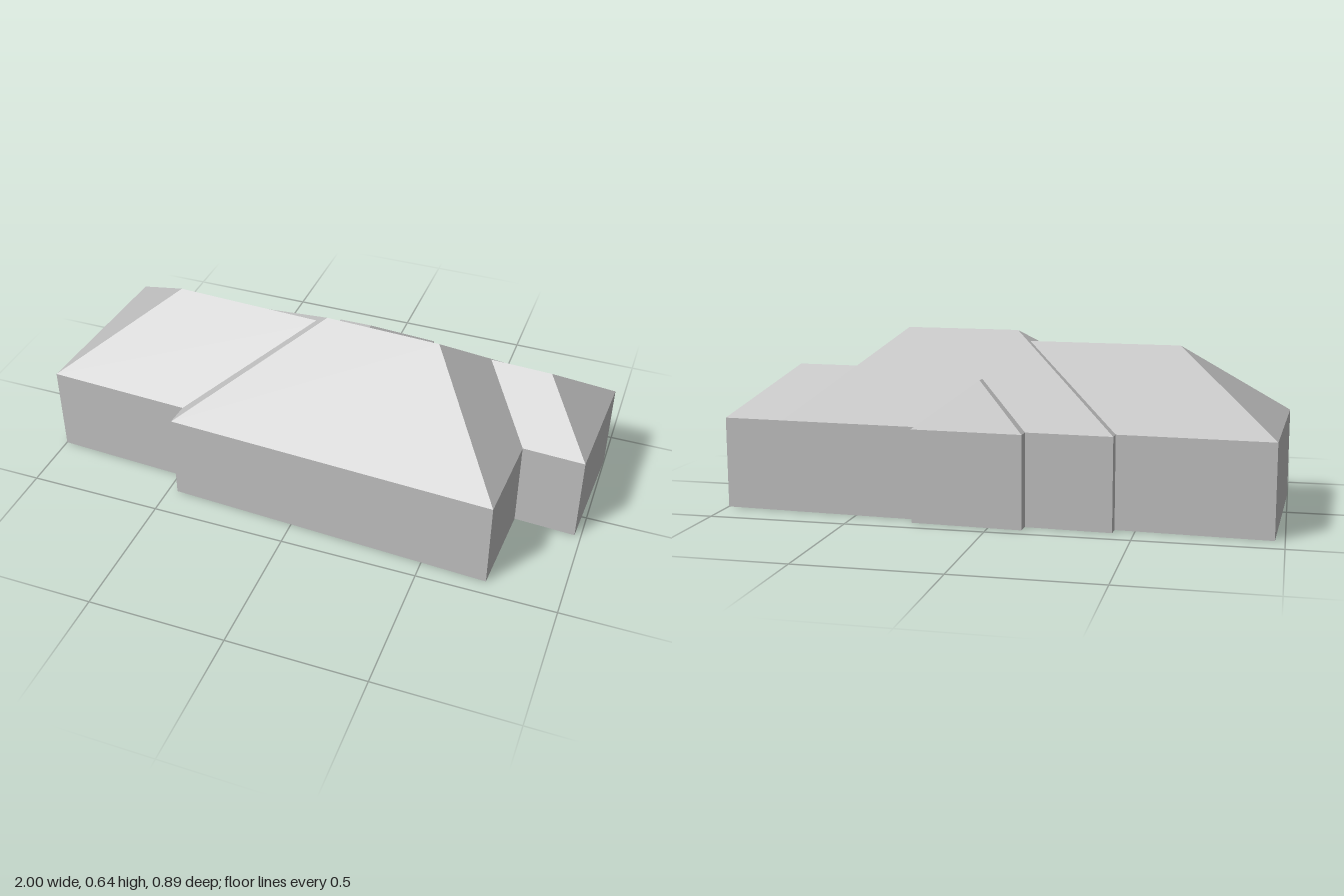
import * as THREE from 'three';

const BASE = 0.004, EAVE = 0.335;
const plaster = new THREE.MeshStandardMaterial({ color: 0xbfbfbf });
plaster.name = 'pale grey';

// Hipped roof over a rectangle, ridge along x from r0 to r1 at depth rz
function hipRoof(x0, x1, z0, z1, r0, r1, rz, top) {
  const fl = [x0, EAVE, z1], fr = [x1, EAVE, z1], br = [x1, EAVE, z0], bl = [x0, EAVE, z0];
  const p = [r0, top, rz], q = [r1, top, rz];
  const triangles = [
    fl, fr, q, fl, q, p, // front slope
    br, bl, p, br, p, q, // back slope
    fr, br, q, bl, fl, p, // ends
  ];
  const geometry = new THREE.BufferGeometry();
  geometry.setAttribute('position', new THREE.Float32BufferAttribute(triangles.flat(), 3));
  geometry.computeVertexNormals();
  return geometry;
}

// One wing of the house: plain walls under a hipped roof
function wing(name, { x, z, ridge, ridgeZ, top }) {
  const group = new THREE.Group();
  group.name = name;
  const walls = new THREE.Mesh(
    new THREE.BoxGeometry(x[1] - x[0], EAVE - BASE, z[1] - z[0]), plaster);
  walls.position.set((x[0] + x[1]) / 2, (EAVE + BASE) / 2, (z[0] + z[1]) / 2);
  walls.name = name + 'Walls';
  const roof = new THREE.Mesh(hipRoof(...x, ...z, ...ridge, ridgeZ, top), plaster);
  roof.name = name + 'Roof';
  group.add(walls, roof);
  return group;
}

export function createModel() {
  const house = new THREE.Group();
  house.name = 'house';

  house.add(
    wing('mainBlock', { x: [-0.447, 0.758], z: [-0.4, 0.405], ridge: [-0.012, 0.411], ridgeZ: -0.008, top: 0.642 }),
    // These wings run on into the main block
    wing('longWing', { x: [-0.985, -0.03], z: [-0.357, 0.318], ridge: [-0.615, -0.03], ridgeZ: -0.028, top: 0.605 }),
    wing('shortWing', { x: [0.5, 0.981], z: [-0.399, 0.058], ridge: [0.5, 0.783], ridgeZ: -0.171, top: 0.511 }),
  );

  // Shallow bay at the back, its ridge at right angles to the others
  const bay = wing('backBay', { x: [0.1, 0.446], z: [-0.142, 0.254], ridge: [0.1, 0.243], ridgeZ: 0.066, top: 0.485 });
  bay.rotation.y = Math.PI / 2;
  house.add(bay);

  // The plan stands slightly askew
  house.rotation.y = -THREE.MathUtils.degToRad(2.8);

  const model = new THREE.Group();
  model.name = 'building';
  model.add(house);
  return model;
}
